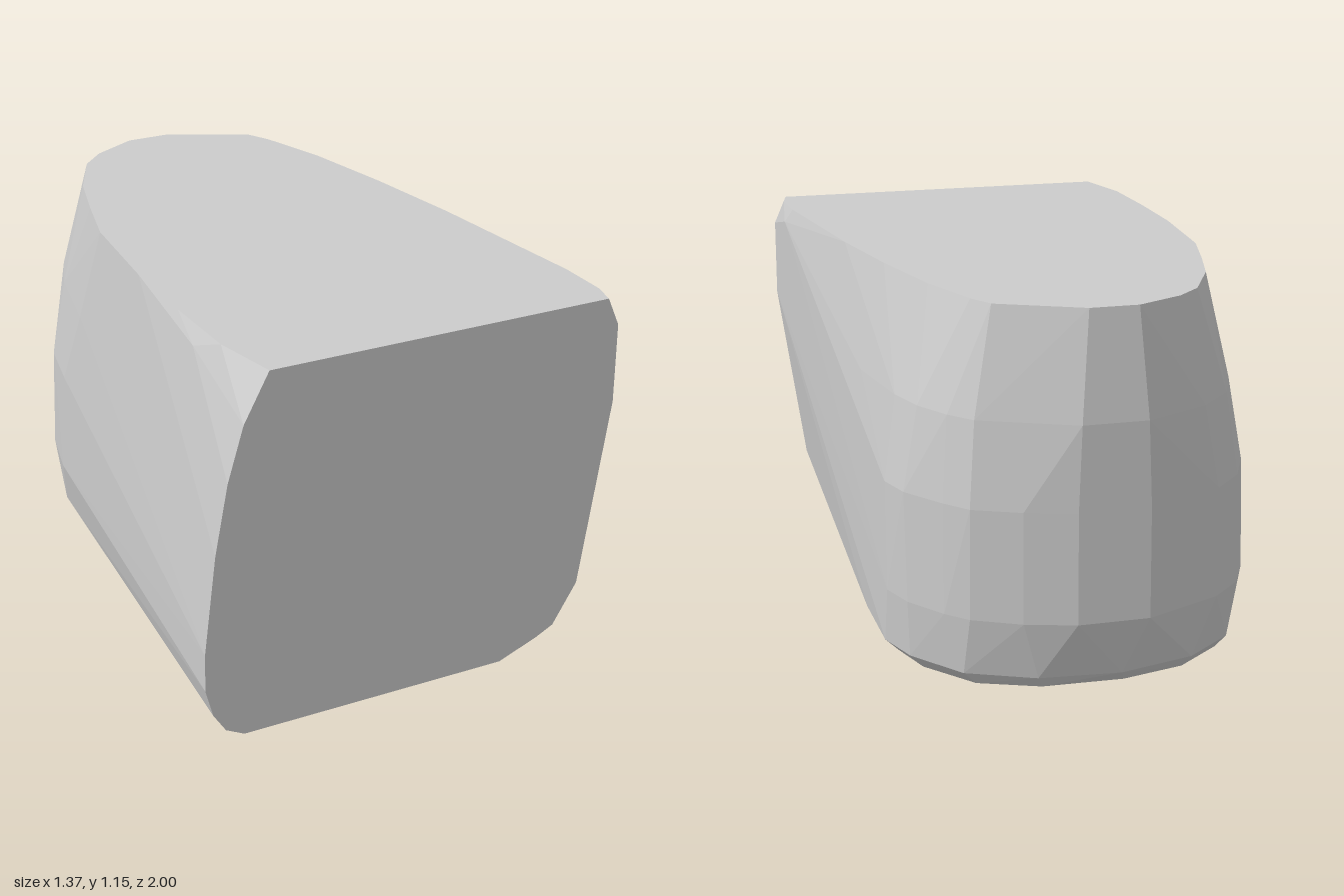
import * as THREE from 'three';
import { ConvexGeometry } from 'three/addons/geometries/ConvexGeometry.js';

// Flat front outline at z = 1, as [x, y]
const front = [
  [-0.48, 1.15], [-0.56, 1.0], [-0.61, 0.83], [-0.65, 0.61], [-0.685, 0.3], [-0.685, 0.18],
  [-0.66, 0.09], [-0.62, 0.03], [-0.56, 0], [0.32, 0], [0.45, 0.05], [0.51, 0.08],
  [0.59, 0.21], [0.68, 0.81], [0.68, 1.06], [0.64, 1.15],
];

// Horizontal outlines behind the front, each at height y, as [x, z]
const rings = [
  { y: 0, outline: [[0.57, -0.2], [0.59, -0.5], [0.55, -0.65], [0.43, -0.82], [0.25, -0.9],
    [0, -0.91], [-0.2, -0.86], [-0.35, -0.74], [-0.43, -0.55]] },
  { y: 0.04, outline: [[0.625, -0.2], [0.633, -0.5], [0.59, -0.65], [0.47, -0.83], [0.27, -0.93],
    [0.02, -0.955], [-0.22, -0.89], [-0.38, -0.76], [-0.47, -0.55]] },
  { y: 0.22, outline: [[0.635, -0.55], [0.6, -0.67], [0.52, -0.8], [0.46, -0.87], [0.32, -0.95],
    [0.17, -1], [-0.05, -1], [-0.3, -0.88], [-0.4, -0.78], [-0.47, -0.64], [-0.52, -0.45]] },
  { y: 0.56, outline: [[0.635, -0.54], [0.605, -0.66], [0.52, -0.8], [0.46, -0.88], [0.32, -0.95],
    [0.17, -1], [-0.05, -1], [-0.3, -0.88], [-0.4, -0.77], [-0.47, -0.62], [-0.515, -0.42]] },
  { y: 0.82, outline: [[0.63, -0.2], [0.595, -0.52], [0.56, -0.66], [0.5, -0.78], [0.44, -0.86],
    [0.3, -0.93], [0.16, -1], [-0.04, -1], [-0.25, -0.89], [-0.36, -0.77], [-0.43, -0.6], [-0.5, -0.3]] },
  { y: 1.1, outline: [[0.68, 0.8], [-0.545, 0.65]] },
  { y: 1.15, outline: [[0.66, 0.92], [0.66, 0.75], [0.6, 0.15], [0.55, -0.2], [0.49, -0.52],
    [0.42, -0.75], [0.38, -0.83], [0.13, -0.96], [-0.02, -0.96], [-0.17, -0.88], [-0.25, -0.8],
    [-0.35, -0.6], [-0.41, -0.4], [-0.47, -0.18], [-0.51, 0.2], [-0.52, 0.5], [-0.52, 0.78]] },
];

export function createModel() {
  const group = new THREE.Group();
  group.name = 'facetedBlock';

  // Solid convex body stretched over the front outline and the rings
  const points = front.map(([x, y]) => new THREE.Vector3(x, y, 1));
  for (const { y, outline } of rings) {
    for (const [x, z] of outline) points.push(new THREE.Vector3(x, y, z));
  }
  const body = new THREE.Mesh(
    new ConvexGeometry(points),
    new THREE.MeshStandardMaterial({ color: 0xcccccc, flatShading: true }),
  );
  body.name = 'body';
  group.add(body);
  return group;
}
